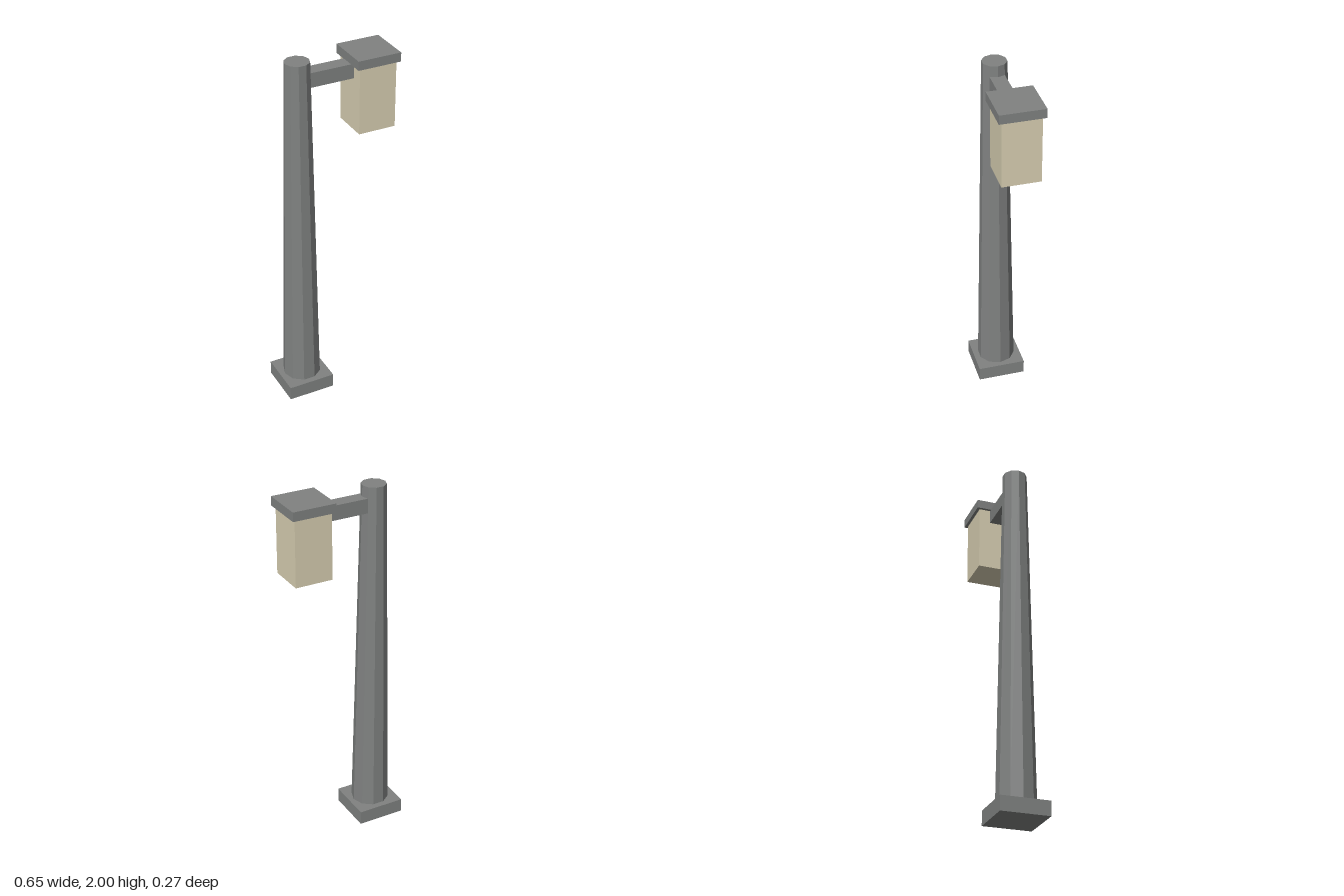
import * as THREE from 'three';

const iron = new THREE.MeshStandardMaterial({ color: 0x808281, flatShading: true });
iron.name = 'ironGrey';
const glass = new THREE.MeshStandardMaterial({ color: 0xd8cfb2, flatShading: true });
glass.name = 'paleLampGlass';

const POLE_X = -0.195;
const LAMP_X = 0.206;

export function createModel() {
  const model = new THREE.Group();
  model.name = 'streetLamp';

  function add(name, geometry, material, x, y) {
    const mesh = new THREE.Mesh(geometry, material);
    mesh.name = name;
    mesh.position.set(x, y, 0);
    model.add(mesh);
  }

  // Box spanning y0 to y1, centred on z = 0
  function addBox(name, material, x, y0, y1, width, depth) {
    add(name, new THREE.BoxGeometry(width, y1 - y0, depth), material, x, (y0 + y1) / 2);
  }

  // Square foot and tapered ten-sided pole, with a corner pointing along x
  addBox('base', iron, POLE_X, 0, 0.08, 0.267, 0.267);
  add('pole', new THREE.CylinderGeometry(0.067, 0.105, 1.92, 10, 1, false, Math.PI / 2), iron, POLE_X, 1.04);

  // Arm running from inside the pole to the lantern
  addBox('arm', iron, -0.035, 1.86, 1.94, 0.3, 0.08);

  // Lantern body under its overhanging cap
  addBox('lantern', glass, LAMP_X, 1.57, 1.94, 0.208, 0.208);
  addBox('lanternCap', iron, LAMP_X, 1.938, 1.988, 0.241, 0.241);

  return model;
}
